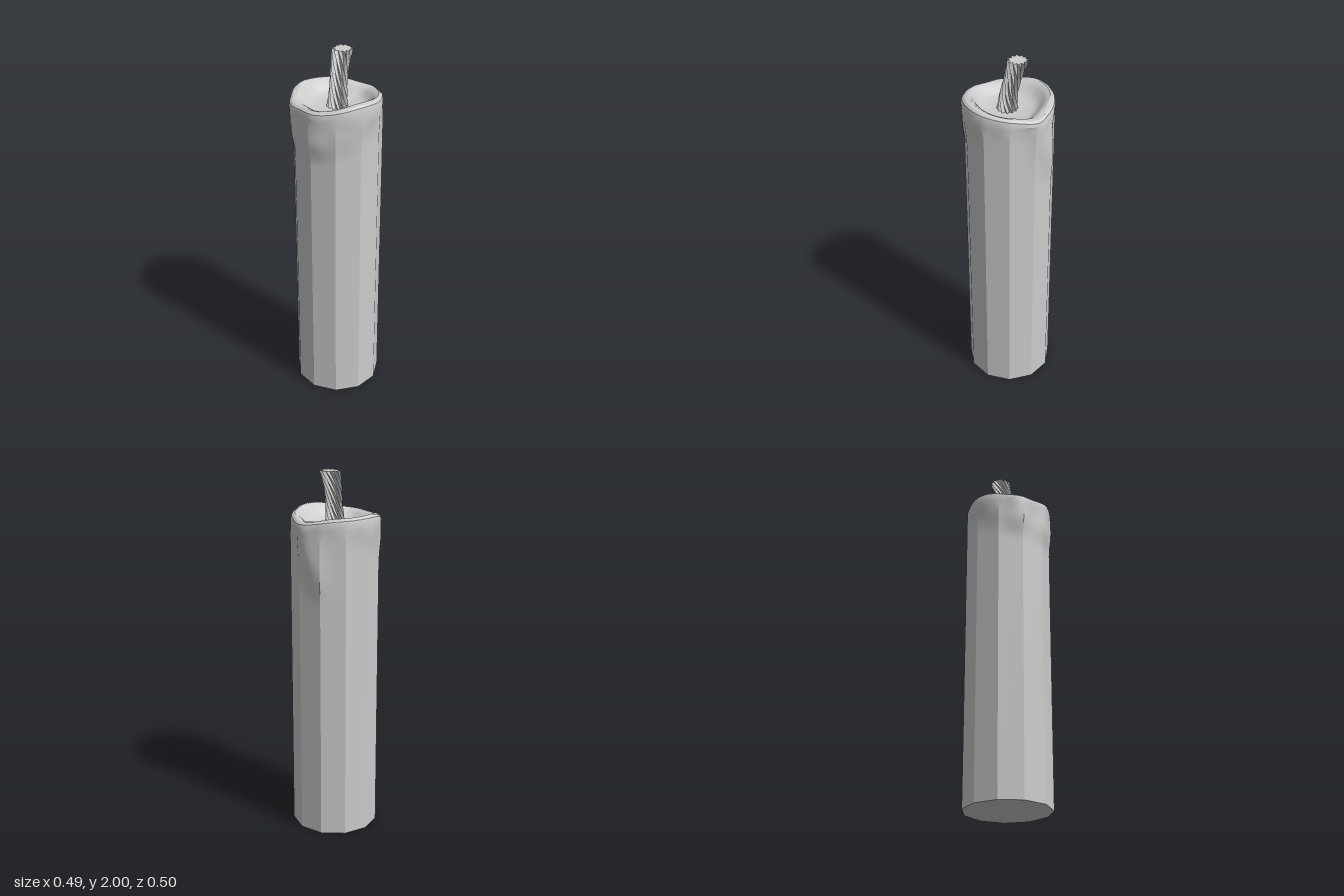
import * as THREE from 'three';
import { toCreasedNormals } from 'three/addons/utils/BufferGeometryUtils.js';

const SIDES = 11, PER_SIDE = 6, N = SIDES * PER_SIDE;
const STEP = (2 * Math.PI) / SIDES, START = 0.267;
const smooth = THREE.MathUtils.smoothstep;
const lerp = THREE.MathUtils.lerp;

// Skins a stack of closed rings (counted from +z towards +x, bottom to top); a one-point ring closes an end.
function loft(rings) {
  const pos = [];
  const tri = (a, b, c) => pos.push(...a, ...b, ...c);
  for (let j = 0; j < rings.length - 1; j++) {
    const lo = rings[j], hi = rings[j + 1], n = Math.max(lo.length, hi.length);
    for (let i = 0; i < n; i++) {
      const k = (i + 1) % n;
      if (lo.length > 1) tri(lo[i], lo[k], hi[hi.length > 1 ? k : 0]);
      if (hi.length > 1) tri(lo[lo.length > 1 ? i : 0], hi[k], hi[i]);
    }
  }
  const g = new THREE.BufferGeometry();
  g.setAttribute('position', new THREE.Float32BufferAttribute(pos, 3));
  return g;
}

// Soft bump around the angle "centre" (degrees)
function bump(a, centre, width) {
  const d = a - THREE.MathUtils.degToRad(centre);
  const w = Math.atan2(Math.sin(d), Math.cos(d)) / THREE.MathUtils.degToRad(width);
  return Math.exp(-w * w);
}

// Eleven-sided shaft radius at an angle
function shaftRadius(a) {
  const t = (((a - START) % STEP) + STEP) % STEP;
  return (0.238 * Math.cos(STEP / 2)) / Math.cos(t - STEP / 2);
}

// Melted wax runs: angle, width, thickness, lower end, upper end of the fade, sideways drift
const DRIPS = [
  [24, 19, 0.021, 1.46, 1.6, 0],
  [-24, 19, 0.021, 1.48, 1.62, 0],
  [60, 18, 0.012, 1.5, 1.64, 0],
  [-62, 18, 0.01, 1.54, 1.68, 0],
  [92, 22, 0.012, 1.58, 1.72, 0],
  [-85, 22, 0.009, 1.6, 1.73, 0],
  [183, 15, 0.018, 1.3, 1.58, 70],
];

function waxRadius(a, y) {
  let r = lerp(shaftRadius(a), 0.235, 0.8 * smooth(y, 1.64, 1.75));
  for (const [centre, width, thick, low, high, drift] of DRIPS) {
    r += thick * bump(a, centre + drift * (1.75 - y), width) * smooth(y, low, high);
  }
  return r;
}

const rimHeight = (a) => 1.773 - 0.017 * Math.cos(2 * a) + 0.005 * Math.sin(a) + 0.003 * Math.sin(5 * a + 1);

function waxGeometry() {
  const angles = Array.from({ length: N }, (_, i) => START + (i / N) * 2 * Math.PI);
  const ring = (fn) => angles.map((a) => {
    const [r, y] = fn(a);
    return [r * Math.sin(a) - 0.002, y, r * Math.cos(a) + 0.003];
  });
  const rings = [[[-0.002, 0, 0.003]], ring((a) => [shaftRadius(a), 0])];

  // Shaft, then the drips up to the shoulder
  for (let k = 0; k <= 22; k++) {
    const y = 1.28 + k * 0.02;
    rings.push(ring((a) => [waxRadius(a, y), y]));
  }

  // Rounded rim, bowl wall and pool floor: [share of outer radius, drop below the rim]
  const profile = [[1, 0.03], [0.98, 0.012], [0.93, 0.002], [0.87, 0], [0.8, 0.007],
    [0.73, 0.022], [0.66, 0.042], [0.58, 0.056], [0.48, 0.063], [0.25, 0.067]];
  for (const [s, drop] of profile) {
    const inner = 1 - smooth(s, 0.45, 0.9);
    rings.push(ring((a) => {
      const wobble = 1 + 0.035 * Math.sin(3 * a + 0.6) * (s < 0.9 ? 1 : 0);
      return [waxRadius(a, 1.75) * s * wobble, lerp(rimHeight(a), 1.775, inner) - drop];
    }));
  }
  rings.push([[0, 1.708, 0]]);
  return toCreasedNormals(loft(rings), 0.42);
}

// Twisted, toothed cord that leans back and flares at both ends
function wickGeometry() {
  const TEETH = 12, ROWS = 12;
  const path = new THREE.CatmullRomCurve3([
    new THREE.Vector3(0.005, 1.7, 0.012), new THREE.Vector3(0.002, 1.8, 0.002),
    new THREE.Vector3(-0.012, 1.9, -0.018), new THREE.Vector3(-0.021, 2, -0.045),
  ]);
  const rings = [];
  for (let j = 0; j <= ROWS; j++) {
    const t = j / ROWS, c = path.getPoint(t);
    const size = 0.046 + 0.011 * Math.pow(2 * t - 1, 2);
    rings.push(Array.from({ length: TEETH * 2 }, (_, i) => {
      const a = (i / (TEETH * 2)) * 2 * Math.PI - 2.6 * t;
      const r = size * (i % 2 ? 0.7 : 1);
      return [c.x + r * Math.sin(a), c.y, c.z + r * Math.cos(a)];
    }));
  }
  rings.push([path.getPoint(1).toArray()]);
  const g = loft(rings);
  g.computeVertexNormals();
  return g;
}

export function createModel() {
  const group = new THREE.Group();
  group.name = 'candle';
  const add = (name, geometry, flatShading) => {
    const mesh = new THREE.Mesh(geometry, new THREE.MeshStandardMaterial({ color: 0xcccccc, flatShading }));
    mesh.name = name;
    group.add(mesh);
  };
  add('waxBody', waxGeometry(), false);
  add('wick', wickGeometry(), true);
  return group;
}
